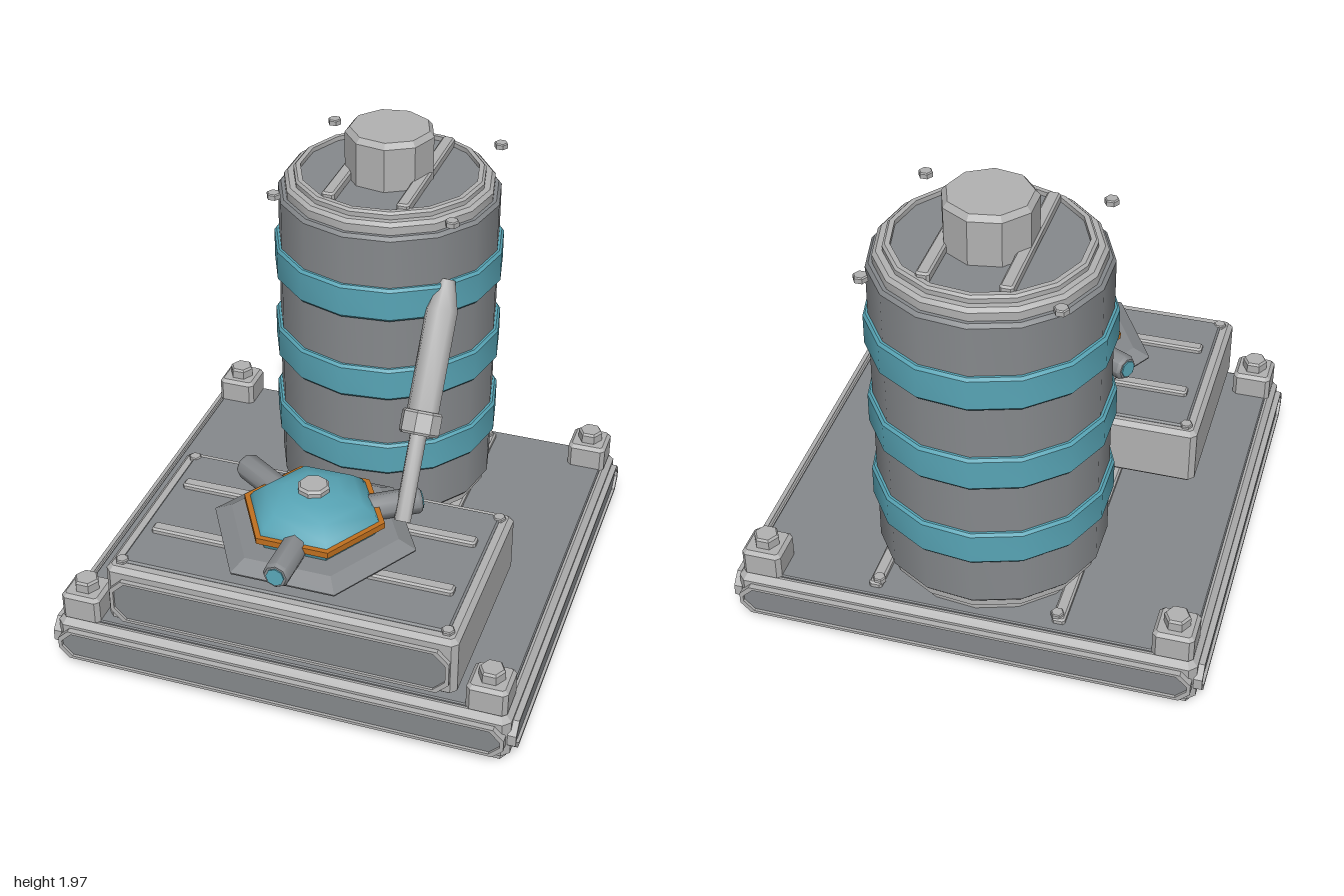
import * as THREE from 'three';
import { toCreasedNormals } from 'three/addons/utils/BufferGeometryUtils.js';

const material = (name, color) => {
  const m = new THREE.MeshStandardMaterial({ color });
  m.name = name;
  return m;
};

export function createModel() {
  const model = new THREE.Group();
  model.name = 'pumpStation';
  const light = material('lightGrey', 0xb2b2b2);
  const dark = material('darkGrey', 0x86898c);
  const teal = material('tealPaint', 0x58a5b6);
  const orange = material('orangeTrim', 0xc0701f);

  const add = (name, geometry, mat, x = 0, y = 0, z = 0, parent = model) => {
    const mesh = new THREE.Mesh(geometry, mat);
    mesh.name = name;
    mesh.position.set(x, y, z);
    parent.add(mesh);
    return mesh;
  };

  // Rectangle with cut corners
  const octagon = (w, h, c, Type = THREE.Shape) => {
    const a = w / 2, b = h / 2;
    return new Type([
      [a - c, -b], [a, c - b], [a, b - c], [a - c, b],
      [c - a, b], [-a, b - c], [-a, c - b], [c - a, -b],
    ].map(([x, y]) => new THREE.Vector2(x, y)));
  };

  // Block resting on its local y = 0, all edges chamfered
  const slab = (w, h, d, c) => {
    const g = new THREE.ExtrudeGeometry(octagon(w - 2 * c, d - 2 * c, c * 0.6), {
      depth: h - 2 * c, bevelEnabled: true, bevelSize: c, bevelThickness: c, bevelSegments: 1,
    });
    g.rotateX(-Math.PI / 2).translate(0, c, 0);
    return toCreasedNormals(g, 0.4);
  };

  // Turned part with a given number of sides, one corner on +x
  const turned = (points, sides, crease = 0.5) => toCreasedNormals(new THREE.LatheGeometry(
    points.map(([r, y]) => new THREE.Vector2(r, y)), sides, Math.PI / 2), crease);

  const bolt = (name, r, h, x, y, z) =>
    add(name, turned([[0, 0], [r, 0], [r, h * 0.8], [r * 0.85, h], [0, h]], 6), light, x, y, z);

  // Inset panel facing +z, with a raised rim
  const sidePanel = (name, w, h, c, depth) => {
    const g = new THREE.Group();
    g.name = name;
    const rim = octagon(w + 0.03, h + 0.025, c);
    rim.holes.push(octagon(w, h, c, THREE.Path));
    add('panelRim', new THREE.ExtrudeGeometry(rim, { depth, bevelEnabled: false }), light, 0, 0, 0, g);
    add('panelFace', new THREE.ExtrudeGeometry(octagon(w, h, c),
      { depth: depth * 0.65, bevelEnabled: false }), dark, 0, 0, 0, g);
    model.add(g);
    return g;
  };

  // Square base
  add('baseUnderside', slab(1.88, 0.05, 1.88, 0.01), dark, 0, 0.005, 0);
  add('baseBody', slab(1.95, 0.21, 1.95, 0.025), light, 0, 0.015, 0);
  add('baseFloor', slab(1.88, 0.05, 1.88, 0.005), dark, 0, 0.186, 0);
  for (let i = 0; i < 4; i++) {
    const a = i * Math.PI / 2;
    const p = sidePanel('baseSidePanel', 1.89, 0.115, 0.045, 0.035);
    p.position.set(0.965 * Math.sin(a), 0.118, 0.965 * Math.cos(a));
    p.rotation.y = a;
  }
  for (const x of [-1, 1]) {
    for (const z of [-1, 1]) {
      add('cornerBlock', slab(0.17, 0.13, 0.17, 0.015), light, x * 0.87, 0.215, z * 0.87);
      bolt('cornerBolt', 0.055, 0.05, x * 0.87, 0.343, z * 0.87);
      bolt('baseFoot', 0.035, 0.03, x * 0.92, 0, z * 0.92);
    }
    add('floorRail', slab(0.055, 0.05, 1.8, 0.008), light, x * 0.39, 0.21, 0);
    for (const z of [-0.87, 0.11]) bolt('floorBolt', 0.028, 0.025, x * 0.38, 0.25, z);
  }

  // Storage tank
  const tank = new THREE.Group();
  tank.name = 'tank';
  tank.position.z = -0.485;
  model.add(tank);
  add('tankFoot', turned([[0, 0.235], [0.42, 0.235], [0.42, 0.27], [0.455, 0.285],
    [0.455, 0.33], [0, 0.33]], 15), light, 0, 0, 0, tank);
  add('tankWall', turned([[0, 0.32], [0.465, 0.32], [0.478, 0.335], [0.478, 1.68],
    [0.465, 1.695], [0, 1.695]], 15), dark, 0, 0, 0, tank);
  for (const y of [0.55, 0.93, 1.315]) {
    add('tankBand', turned([[0.47, 0], [0.488, 0], [0.498, 0.012], [0.498, 0.14],
      [0.488, 0.152], [0.47, 0.152]], 15), teal, 0, y, 0, tank);
  }
  add('tankRim', turned([[0.45, 1.69], [0.45, 1.73], [0.435, 1.745], [0.41, 1.745],
    [0.41, 1.765], [0.4, 1.775], [0.38, 1.775], [0.38, 1.74]], 15), light, 0, 0, 0, tank);
  add('tankLid', turned([[0.385, 1.755], [0, 1.755]], 15), dark, 0, 0, 0, tank);
  for (const x of [-1, 1]) {
    add('lidRail', slab(0.055, 0.045, 0.68, 0.008), light, x * 0.16, 1.75, 0, tank);
    for (const z of [-0.87, -0.11]) bolt('lidBolt', 0.03, 0.025, x * 0.38, 1.755, z);
  }
  add('tankKnob', turned([[0, 1.75], [0.19, 1.75], [0.19, 1.945], [0.17, 1.968],
    [0, 1.968]], 9), light, 0, 0, 0, tank);

  // Machine housing
  add('housing', slab(1.49, 0.275, 0.88, 0.02), light, 0, 0.26, 0.505);
  add('housingTop', slab(1.39, 0.04, 0.79, 0.008), dark, 0, 0.505, 0.5);
  const front = sidePanel('housingFrontPanel', 1.41, 0.18, 0.05, 0.03);
  front.position.set(0, 0.385, 0.935);
  for (const z of [0.33, 0.66]) {
    add('housingRail', slab(1.3, 0.04, 0.055, 0.008), light, 0, 0.528, z);
  }
  for (const x of [-0.69, 0.69]) {
    for (const z of [0.12, 0.885]) bolt('housingBolt', 0.028, 0.025, x, 0.525, z);
  }

  // Six-sided valve head
  const valve = new THREE.Group();
  valve.name = 'valveHead';
  valve.position.z = 0.495;
  model.add(valve);
  add('valveSkirt', turned([[0, 0.54], [0.31, 0.54], [0.42, 0.575], [0, 0.575]], 6),
    orange, 0, 0, 0, valve);
  add('valveFlange', turned([[0, 0.575], [0.435, 0.575], [0.44, 0.585], [0.365, 0.622],
    [0, 0.622]], 6), dark, 0, 0, 0, valve);
  add('valveDrum', turned([[0.26, 0.615], [0.285, 0.668]], 6), teal, 0, 0, 0, valve);
  add('valveTrim', turned([[0, 0.663], [0.305, 0.663], [0.305, 0.69], [0, 0.69]], 6),
    orange, 0, 0, 0, valve);
  add('valveDome', turned([[0.28, 0.69], [0.265, 0.712], [0.21, 0.757], [0.125, 0.785],
    [0, 0.79]], 6, 1.1), teal, 0, 0, 0, valve);
  add('valveCap', turned([[0, 0.775], [0.068, 0.775], [0.068, 0.805], [0.058, 0.816],
    [0, 0.816]], 8), light, 0, 0, 0, valve);

  // Three nozzles around the valve head
  for (let i = 0; i < 3; i++) {
    const pivot = new THREE.Group();
    pivot.name = 'nozzle';
    pivot.position.y = 0.645;
    pivot.rotation.set(Math.PI / 2 - 0.06, i * Math.PI * 2 / 3, 0, 'YXZ');
    valve.add(pivot);
    add('nozzleBarrel', turned([[0, 0.15], [0.057, 0.15], [0.057, 0.435], [0.047, 0.45],
      [0, 0.45]], 8, 0.9), dark, 0, 0, 0, pivot);
    add('nozzleTip', turned([[0.038, 0.445], [0.038, 0.456], [0, 0.456]], 8),
      teal, 0, 0, 0, pivot);
  }

  // Sloping piston between valve and tank
  const piston = new THREE.Group();
  piston.name = 'piston';
  const start = new THREE.Vector3(0.345, 0.63, 0.385);
  const axis = new THREE.Vector3(0.35, 1.465, -0.175).sub(start);
  piston.position.copy(start);
  piston.quaternion.setFromUnitVectors(new THREE.Vector3(0, 1, 0), axis.normalize());
  model.add(piston);
  add('pistonRod', turned([[0, 0], [0.036, 0], [0.036, 0.45], [0, 0.45]], 8, 0.9),
    light, 0, 0, 0, piston);
  add('pistonCollar', turned([[0, 0.36], [0.078, 0.36], [0.086, 0.37], [0.086, 0.45],
    [0.078, 0.46], [0, 0.46]], 8), light, 0, 0, 0, piston);
  add('pistonSleeve', turned([[0, 0.45], [0.068, 0.45], [0.068, 0.88], [0.034, 1.008],
    [0, 1.008]], 8, 0.9), light, 0, 0, 0, piston);

  return model;
}
